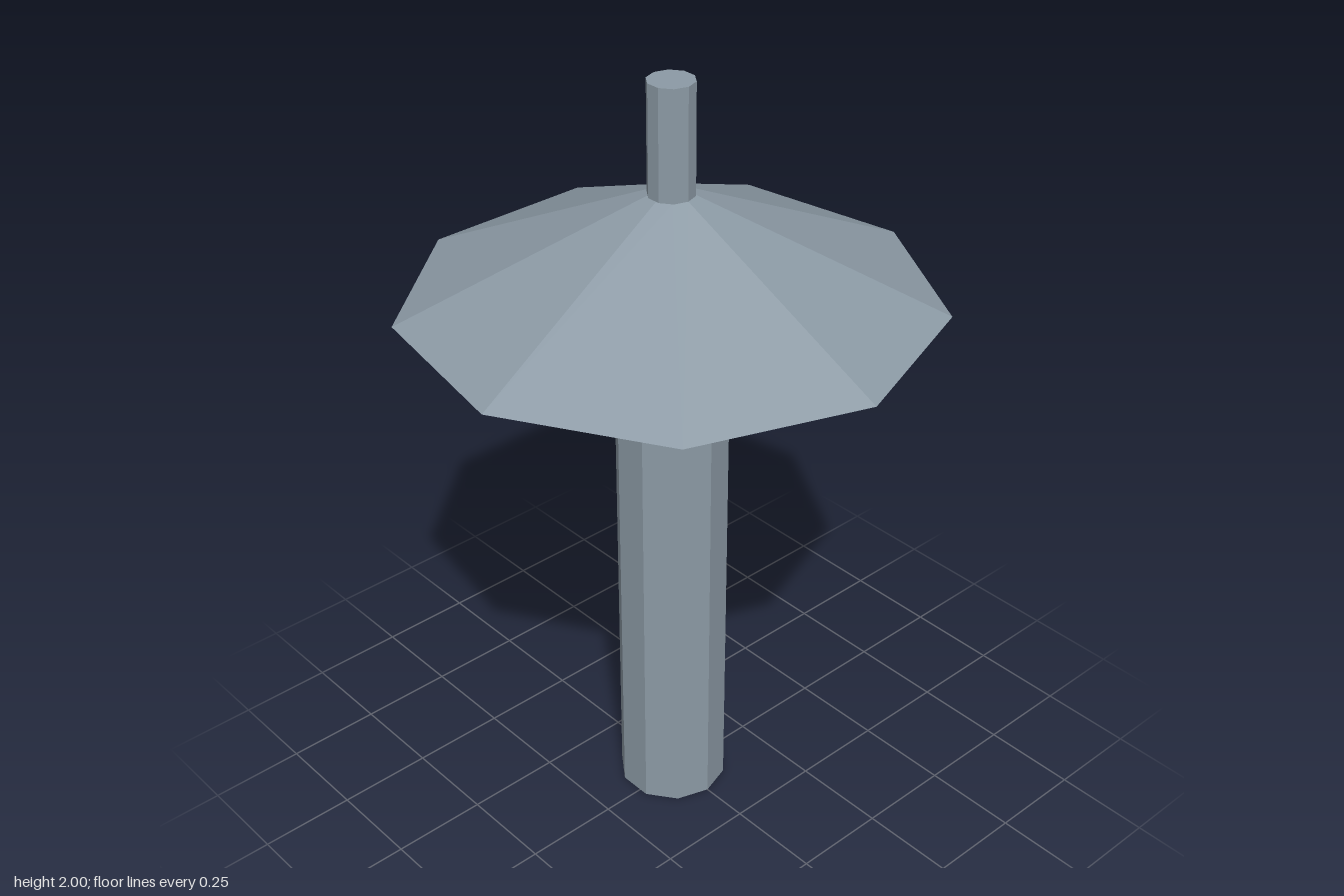
import * as THREE from 'three';

export function createModel() {
  const group = new THREE.Group();
  const steel = new THREE.MeshStandardMaterial({ color: 0x8c9aa5, flatShading: true });
  steel.name = 'blue grey steel';

  // Upright faceted section with one corner pointing to +x
  function section(name, topRadius, bottomRadius, bottom, top, sides) {
    const geometry = new THREE.CylinderGeometry(
      topRadius, bottomRadius, top - bottom, sides, 1, false, Math.PI / 2);
    const mesh = new THREE.Mesh(geometry, steel);
    mesh.name = name;
    mesh.position.set(-0.02, (bottom + top) / 2, 0);
    group.add(mesh);
  }

  section('post', 0.1425, 0.1425, 0, 1.455, 10);
  section('canopy', 0.0575, 0.656, 1.455, 1.725, 9);
  section('topRod', 0.0575, 0.0575, 1.725, 2, 10);

  return group;
}
